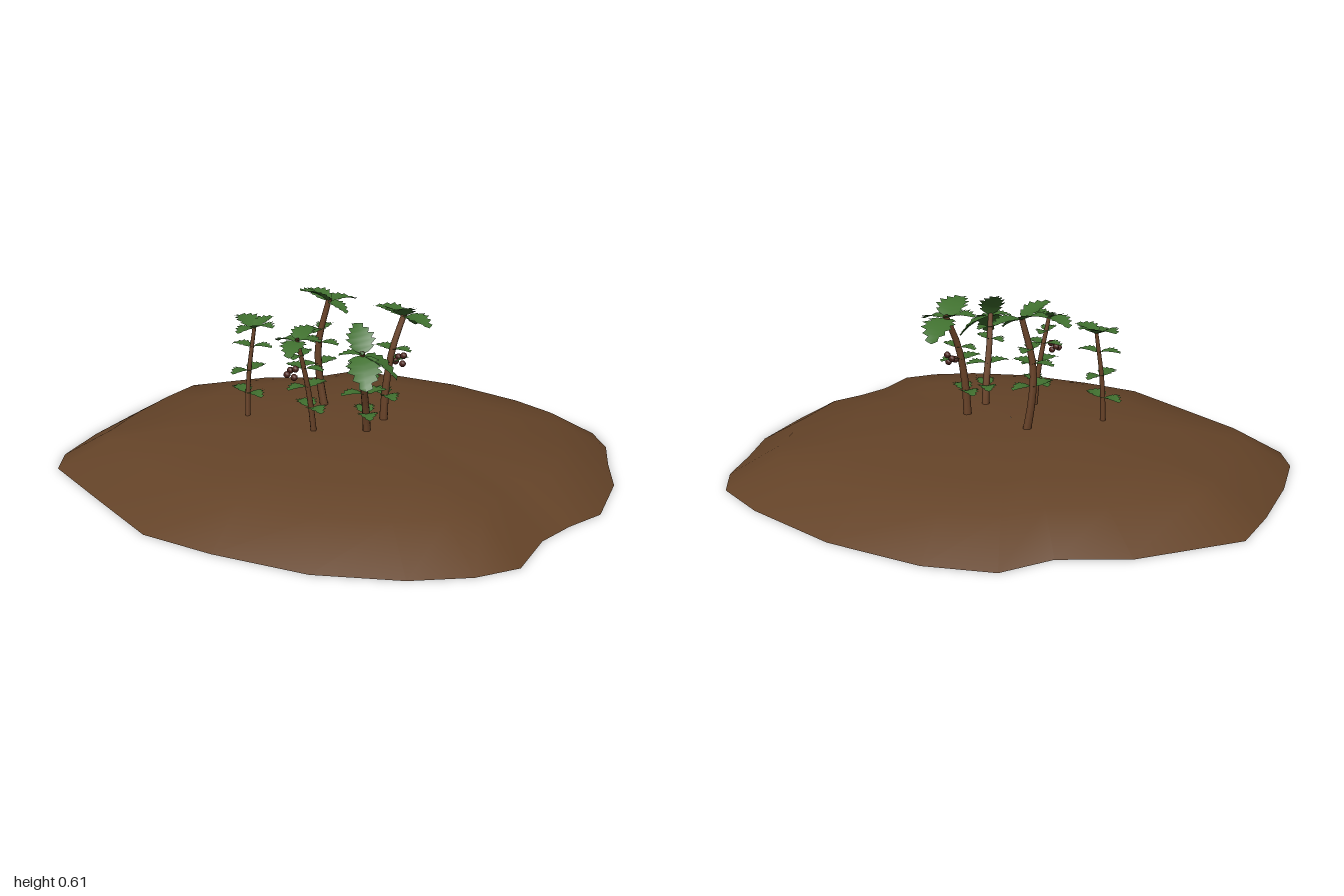
import * as THREE from 'three';

const mat = (name, color, side = THREE.FrontSide) => {
  const m = new THREE.MeshStandardMaterial({ color, side });
  m.name = name;
  return m;
};

const V = (a) => new THREE.Vector3(...a);

// Geometry from a grid of points: rows of equal length, smooth normals
function gridGeometry(rows, closed) {
  const n = rows[0].length, index = [];
  const last = closed ? n : n - 1;
  for (let r = 0; r < rows.length - 1; r++) {
    for (let i = 0; i < last; i++) {
      const a = r * n + i, b = r * n + (i + 1) % n;
      index.push(a, b, b + n, a, b + n, a + n);
    }
  }
  const g = new THREE.BufferGeometry();
  g.setAttribute('position', new THREE.Float32BufferAttribute(rows.flat(2), 3));
  g.setIndex(index);
  g.computeVertexNormals();
  return g;
}

// Hollow soil mound: an irregular outline shrinking upwards
function moundGeometry() {
  const outline = [
    [-1, -0.02], [-0.95, 0.18], [-0.86, 0.44], [-0.76, 0.65], [-0.66, 0.75], [-0.33, 0.825],
    [0.01, 0.9], [0.27, 0.85], [0.58, 0.75], [0.81, 0.59], [0.94, 0.44], [1, 0.3],
    [0.94, 0.1], [0.94, -0.05], [0.96, -0.2], [0.86, -0.45], [0.74, -0.61], [0.64, -0.76],
    [0.52, -0.86], [0.3, -0.9], [-0.07, -0.9], [-0.4, -0.82], [-0.6, -0.7], [-0.66, -0.52],
    [-0.83, -0.36],
  ];
  const profile = [[1, 0], [0.82, 0.1], [0.6, 0.135], [0.39, 0.16], [0.2, 0.168], [0.001, 0.17]];
  return gridGeometry(profile.map(([s, y]) => outline.map(([x, z]) => [x * s, y, z * s])), true);
}

// Toothed leaf of unit length along +z, folded at the rib and drooping to the tip
function leafGeometry() {
  const widths = [0.03, 0.2, 0.36, 0.27, 0.43, 0.3, 0.4, 0.24, 0.29, 0.14, 0.16, 0];
  const rows = widths.map((w, i) => {
    const t = i / (widths.length - 1);
    const y = 0.32 * t * (1 - t);
    const sweep = i % 2 ? 0 : 0.05;
    return [[-w, y + w * 0.22, t + sweep], [0, y, t], [w, y + w * 0.22, t + sweep]];
  });
  rows[rows.length - 1].forEach((p) => { p[2] = 1; });
  rows.forEach((row) => row.reverse());
  const g = gridGeometry(rows, false);
  // Keep the normals on the upper side
  if (g.attributes.normal.getY(16) < 0) {
    const idx = g.index.array;
    for (let i = 0; i < idx.length; i += 3) [idx[i], idx[i + 1]] = [idx[i + 1], idx[i]];
    g.computeVertexNormals();
  }
  return g;
}

export function createModel() {
  const soil = mat('soil brown', 0x644328, THREE.DoubleSide);
  const bark = mat('stem brown', 0x6b4429, THREE.DoubleSide);
  const green = mat('leaf green', 0x40702f, THREE.DoubleSide);
  const red = mat('berry dark red', 0x4c241c);

  const model = new THREE.Group();
  model.name = 'plantedMound';
  const mound = new THREE.Mesh(moundGeometry(), soil);
  mound.name = 'soilMound';
  model.add(mound);

  const leafGeo = leafGeometry();
  const berryGeo = new THREE.SphereGeometry(0.012, 8, 6);

  // Leaf reaching from one point to another, kept face up
  function addLeaf(group, from, to, width = 1) {
    const leaf = new THREE.Mesh(leafGeo, green);
    const len = from.distanceTo(to);
    leaf.name = 'leaf';
    leaf.position.copy(from);
    leaf.lookAt(to);
    leaf.scale.set(len * width, len, len);
    group.add(leaf);
  }

  // Plant: curved stem, crown leaves by tip position, and spiralling lower leaves
  function addPlant({ path, radius, tips, tiers, turn, berries }) {
    const plant = new THREE.Group();
    plant.name = 'plant';
    const curve = new THREE.CatmullRomCurve3(path.map(V));
    const stemGeo = new THREE.TubeGeometry(curve, 10, radius, 7);
    // Narrow the stem towards the top
    const pos = stemGeo.attributes.position, p = new THREE.Vector3();
    for (let i = 0; i < pos.count; i++) {
      const t = Math.floor(i / 8) / 10;
      p.fromBufferAttribute(pos, i).lerp(curve.getPointAt(t), t * 0.4);
      pos.setXYZ(i, p.x, p.y, p.z);
    }
    const stem = new THREE.Mesh(stemGeo, bark);
    stem.name = 'stem';
    plant.add(stem);

    const top = curve.getPointAt(0.98);
    tips.forEach((tip) => addLeaf(plant, top, V(tip)));

    tiers.forEach((t, k) => {
      const from = curve.getPointAt(t);
      for (const side of [0, Math.PI]) {
        const a = turn + k * 1.3 + side;
        const reach = 0.09 - 0.006 * k;
        const to = from.clone().add(new THREE.Vector3(Math.cos(a) * reach, 0.005, Math.sin(a) * reach));
        addLeaf(plant, from, to);
      }
    });

    // Small berry cluster beside the stem
    if (berries) {
      for (let i = 0; i < 4; i++) {
        const berry = new THREE.Mesh(berryGeo, red);
        berry.name = 'berry';
        const a = i * 1.9;
        berry.position.set(berries[0] + Math.cos(a) * 0.015, berries[1] + (i - 1.5) * 0.009,
          berries[2] + Math.sin(a) * 0.015);
        plant.add(berry);
      }
    }
    model.add(plant);
  }

  // Front left-hand plant
  addPlant({
    path: [[-0.245, 0.06, 0.22], [-0.245, 0.3, 0.21], [-0.23, 0.49, 0.19]], radius: 0.011,
    tips: [[-0.34, 0.505, 0.16], [-0.13, 0.5, 0.2], [-0.22, 0.51, 0.11], [-0.22, 0.48, 0.28]],
    tiers: [0.43, 0.62, 0.82], turn: 0.2,
  });
  // Back left-hand plant
  addPlant({
    path: [[-0.1, 0.04, -0.06], [-0.135, 0.27, -0.04], [-0.135, 0.4, -0.035], [-0.105, 0.565, -0.06]],
    radius: 0.017,
    tips: [[-0.22, 0.58, -0.06], [-0.08, 0.55, -0.17], [-0.03, 0.52, -0.07], [-0.14, 0.605, 0.05]],
    tiers: [0.53, 0.68, 0.78], turn: 1.7,
  });
  // Front middle plant
  addPlant({
    path: [[0.05, 0.06, 0.17], [0.045, 0.3, 0.2], [0.03, 0.5, 0.24]], radius: 0.012,
    tips: [[-0.08, 0.47, 0.22], [0.08, 0.46, 0.33], [0.0, 0.52, 0.14], [0.12, 0.5, 0.22]],
    tiers: [0.43, 0.6, 0.75, 0.86], turn: 0.4, berries: [0.01, 0.38, 0.25],
  });
  // Back right-hand plant
  addPlant({
    path: [[0.145, 0.04, -0.07], [0.15, 0.26, -0.075], [0.16, 0.42, -0.1], [0.17, 0.54, -0.15]],
    radius: 0.017,
    tips: [[0.12, 0.47, -0.27], [0.29, 0.51, -0.14], [0.05, 0.55, -0.13], [0.22, 0.58, -0.02]],
    tiers: [0.42, 0.65, 0.74], turn: 0.5, berries: [0.17, 0.38, -0.125],
  });
  // Front right-hand plant
  addPlant({
    path: [[0.175, 0.05, 0.05], [0.19, 0.22, 0.07], [0.22, 0.37, 0.12], [0.26, 0.48, 0.17]],
    radius: 0.016,
    tips: [[0.19, 0.56, 0.12], [0.35, 0.39, 0.1], [0.34, 0.38, 0.24], [0.2, 0.47, 0.22]],
    tiers: [0.4, 0.58, 0.78, 0.88], turn: 0.7,
  });

  return model;
}
